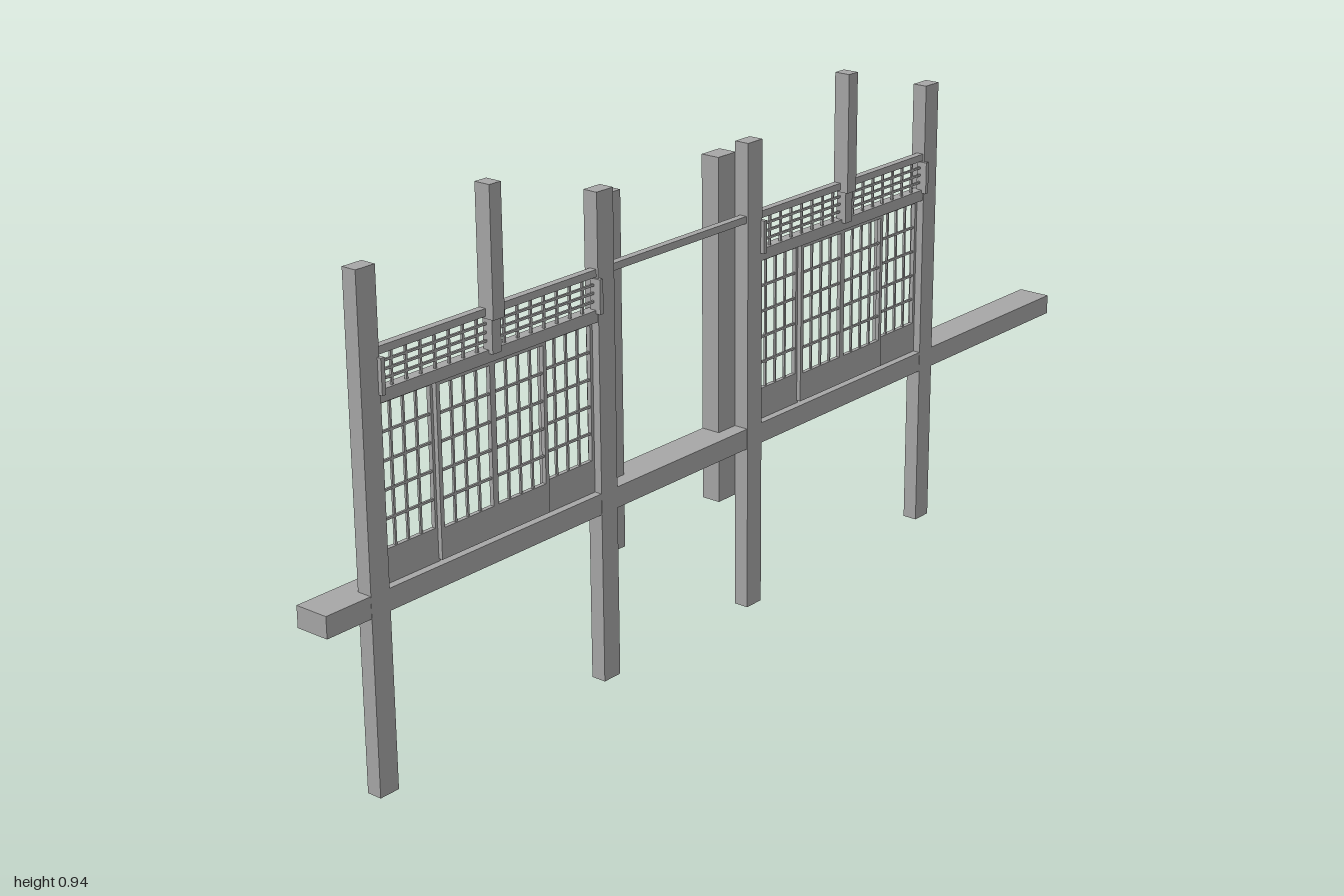
import * as THREE from 'three';

const grey = new THREE.MeshStandardMaterial({ color: 0xa6a6a6 });
grey.name = 'plain grey';

// Box given by its limits on each axis
function bar(parent, name, x0, x1, y0, y1, z0, z1) {
  const mesh = new THREE.Mesh(new THREE.BoxGeometry(x1 - x0, y1 - y0, z1 - z0), grey);
  mesh.position.set((x0 + x1) / 2, (y0 + y1) / 2, (z0 + z1) / 2);
  mesh.name = name;
  parent.add(mesh);
}

// Thin crossing bars dividing a rectangle into cols x rows openings
function lattice(parent, name, x, y0, y1, z0, z1, cols, rows) {
  const t = 0.002;
  for (let i = 1; i < cols; i++) {
    const z = z0 + (z1 - z0) * i / cols;
    bar(parent, name + 'Upright', x - t, x + t, y0, y1, z - t, z + t);
  }
  for (let j = 1; j < rows; j++) {
    const y = y0 + (y1 - y0) * j / rows;
    bar(parent, name + 'Crossbar', x - t, x + t, y - t, y + t, z0, z1);
  }
}

// Sliding screen: solid foot board, frame and lattice
function slidingScreen(x, z0, z1, bottom) {
  const g = new THREE.Group();
  g.name = 'slidingScreen';
  const f = 0.008, h = 0.004;
  bar(g, 'footBoard', x - h, x + h, bottom, 0.406, z0, z1);
  bar(g, 'topFrame', x - h, x + h, 0.645, 0.655, z0, z1);
  bar(g, 'sideFrame', x - h, x + h, 0.406, 0.645, z0, z0 + f);
  bar(g, 'sideFrame', x - h, x + h, 0.406, 0.645, z1 - f, z1);
  lattice(g, 'screen', x, 0.406, 0.645, z0 + f, z1 - f, 4, 5);
  return g;
}

// One bay between two posts: four screens, transom and centre strut
function bay(z0, z1) {
  const g = new THREE.Group();
  g.name = 'screenBay';
  const w = (z1 - z0) / 4;
  for (let i = 0; i < 4; i++) {
    const inner = i === 1 || i === 2;
    g.add(slidingScreen(inner ? 0.016 : 0.007, z0 + i * w - 0.002, z0 + (i + 1) * w + 0.002, inner ? 0.353 : 0.347));
  }
  bar(g, 'middleRail', 0.004, 0.024, 0.652, 0.673, z0, z1);
  lattice(g, 'transom', 0.018, 0.673, 0.73, z0, z1, 16, 4);
  for (const z of [z0, z1]) {
    bar(g, 'transomEnd', 0.012, 0.033, 0.667, 0.727, z - 0.004, z + 0.004);
  }
  const m = (z0 + z1) / 2;
  bar(g, 'strutFoot', 0.012, 0.032, 0.667, 0.725, m - 0.01, m + 0.01);
  bar(g, 'strut', 0.007, 0.038, 0.725, 0.945, m - 0.013, m + 0.013);
  return g;
}

export function createModel() {
  const model = new THREE.Group();
  model.name = 'screenWall';

  // Long floor beam
  bar(model, 'floorBeam', -0.04, 0.025, 0.31, 0.348, -1, 1);

  // Slender posts standing on the ground
  for (const z of [0.887, 0.355, -0.036, -0.566]) {
    bar(model, 'post', -0.003, 0.0255, 0, 0.873, z - 0.02, z + 0.02);
  }

  // Heavier short posts either side of the opening
  for (const z of [0.309, 0.006]) {
    bar(model, 'doorPost', -0.04, -0.003, 0.215, 0.853, z - 0.024, z + 0.024);
  }

  // Rail running across both bays and the opening
  bar(model, 'topRail', 0.008, 0.022, 0.729, 0.742, -0.55, 0.87);

  model.add(bay(0.375, 0.867), bay(-0.546, -0.056));
  return model;
}
